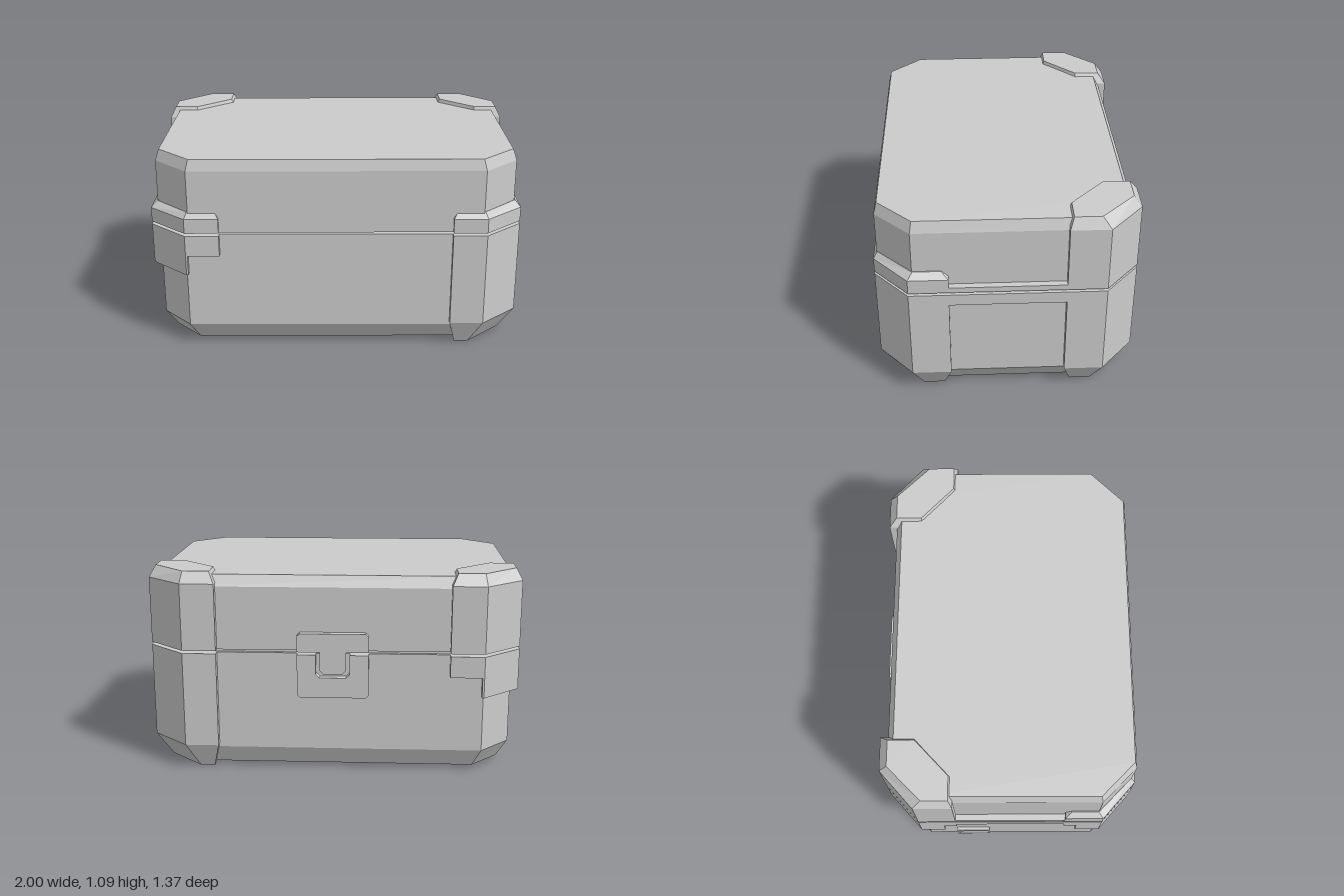
import * as THREE from 'three';

const grey = new THREE.MeshStandardMaterial({ color: 0xcccccc, flatShading: true });

// Closed solid through rings of [x, z] corners, each at its own height
function loft(name, levels) {
  const flip = THREE.ShapeUtils.area(levels[0].ring.map(p => new THREE.Vector2(...p))) < 0;
  const rings = levels.map(({ y, ring }) => {
    const pts = ring.map(([x, z]) => [x, y, z]);
    return flip ? pts.reverse() : pts;
  });
  const pos = [];
  const tri = (...v) => v.forEach(p => pos.push(...p));
  for (let k = 0; k < rings.length - 1; k++) {
    const lo = rings[k], hi = rings[k + 1];
    lo.forEach((p, i) => {
      const j = (i + 1) % lo.length;
      tri(p, hi[i], lo[j]);
      tri(hi[i], hi[j], lo[j]);
    });
  }
  const cap = (ring, up) => {
    const flat = ring.map(p => new THREE.Vector2(p[0], p[2]));
    for (const [a, b, c] of THREE.ShapeUtils.triangulateShape(flat, [])) {
      if (up) tri(ring[a], ring[c], ring[b]);
      else tri(ring[a], ring[b], ring[c]);
    }
  };
  cap(rings[0], false);
  cap(rings[rings.length - 1], true);
  const geo = new THREE.BufferGeometry();
  geo.setAttribute('position', new THREE.Float32BufferAttribute(pos, 3));
  geo.computeVertexNormals();
  const mesh = new THREE.Mesh(geo, grey);
  mesh.name = name;
  return mesh;
}

// Rectangle with cut corners: half width x, front and back z, cut sizes
function octagon(y, x, front, back, cutX, cutZ) {
  return { y, ring: [
    [x, front - cutZ], [x - cutX, front], [cutX - x, front], [-x, front - cutZ],
    [-x, back + cutZ], [cutX - x, back], [x - cutX, back], [x, back + cutZ],
  ] };
}

// Corner guard outlines: four outer corners, then two buried inside the body
const full = [[0.62, 0.685], [0.8, 0.685], [1, 0.505], [1, 0.3], [0.84, 0.3], [0.62, 0.5]];
const foot = [[0.655, 0.625], [0.73, 0.625], [0.92, 0.45], [0.92, 0.34], [0.78, 0.34], [0.655, 0.45]];
const crown = [[0.65, 0.64], [0.79, 0.64], [0.97, 0.46], [0.97, 0.32], [0.84, 0.32], [0.65, 0.5]];
const collar = [[0.64, 0.663], [0.785, 0.663], [0.97, 0.48], [0.97, 0.335], [0.84, 0.335], [0.64, 0.5]];
const drop = [[0.79, 0.685], [0.8, 0.685], [1, 0.505], [1, 0.37], [0.84, 0.37], [0.79, 0.5]];

function guard(name, sx, sz, levels) {
  return loft(name, levels.map(([y, ring]) => ({ y, ring: ring.map(([x, z]) => [sx * x, sz * z]) })));
}

function box(name, x0, x1, y0, y1, z0, z1) {
  const mesh = new THREE.Mesh(new THREE.BoxGeometry(x1 - x0, y1 - y0, z1 - z0), grey);
  mesh.position.set((x0 + x1) / 2, (y0 + y1) / 2, (z0 + z1) / 2);
  mesh.name = name;
  return mesh;
}

// Flat plate standing on the back wall
function backPlate(name, points) {
  const shape = new THREE.Shape(points.map(p => new THREE.Vector2(...p)));
  const geo = new THREE.ExtrudeGeometry(shape, { depth: 0.05, bevelEnabled: false });
  const mesh = new THREE.Mesh(geo, grey);
  mesh.position.z = -0.685;
  mesh.name = name;
  return mesh;
}

export function createModel() {
  const model = new THREE.Group();
  model.name = 'storageCrate';

  // Base, lid and the recessed core seen in the seam
  model.add(
    loft('base', [
      octagon(0.02, 0.9, 0.6, -0.6, 0.145, 0.15),
      octagon(0.12, 0.96, 0.655, -0.645, 0.16, 0.17),
      octagon(0.655, 0.96, 0.655, -0.645, 0.16, 0.17),
    ]),
    loft('seamCore', [
      octagon(0.6, 0.94, 0.63, -0.625, 0.17, 0.18),
      octagon(0.72, 0.94, 0.63, -0.625, 0.17, 0.18),
    ]),
    loft('lid', [
      octagon(0.67, 0.965, 0.667, -0.645, 0.185, 0.185),
      octagon(1.01, 0.965, 0.667, -0.645, 0.185, 0.185),
      octagon(1.07, 0.945, 0.652, -0.612, 0.18, 0.18),
    ]),
  );

  for (const sx of [-1, 1]) {
    const side = sx > 0 ? 'left' : 'right';
    // Lid guards: tall behind, low collars in front
    model.add(
      guard(side + 'BackLidGuard', sx, -1, [[0.67, full], [1.03, full], [1.09, crown]]),
      guard(side + 'FrontLidGuard', sx, 1, [[0.67, full], [0.75, full], [0.783, collar]]),
    );
    // Base guards: full feet on the left, short stepped brackets on the right
    for (const sz of [-1, 1]) {
      const name = side + (sz > 0 ? 'Front' : 'Back');
      if (sx > 0) {
        model.add(guard(name + 'FootGuard', sx, sz, [[0, foot], [0.14, full], [0.655, full]]));
      } else {
        model.add(
          guard(name + 'Bracket', sx, sz, [[0.54, full], [0.655, full]]),
          guard(name + 'BracketDrop', sx, sz, [[0.43, drop], [0.54, drop]]),
        );
      }
    }
    // Side rails joining the guards along the seam
    const [x0, x1] = sx > 0 ? [0.92, 1] : [-1, -0.92];
    model.add(
      box(side + 'LidRail', x0, x1, 0.67, 0.7, -0.31, 0.31),
      box(side + 'BaseRail', x0, x1, 0.59, 0.655, -0.31, 0.31),
    );
  }

  // Latch: hasp with a tongue, held by a slotted keeper
  model.add(
    backPlate('latchHasp', [
      [-0.19, 0.67], [-0.07, 0.67], [-0.07, 0.57], [-0.05, 0.55], [0.05, 0.55], [0.07, 0.57],
      [0.07, 0.67], [0.19, 0.67], [0.19, 0.755], [0.175, 0.77], [-0.175, 0.77], [-0.19, 0.755],
    ]),
    backPlate('latchKeeper', [
      [-0.175, 0.42], [0.175, 0.42], [0.19, 0.435], [0.19, 0.655], [0.09, 0.655], [0.09, 0.55],
      [0.07, 0.53], [-0.07, 0.53], [-0.09, 0.55], [-0.09, 0.655], [-0.19, 0.655], [-0.19, 0.435],
    ]),
  );

  // Small framed label plate on the right side
  const frame = new THREE.Group();
  frame.name = 'labelFrame';
  frame.add(
    box('frameTop', -0.978, -0.95, 0.268, 0.28, -0.31, -0.12),
    box('frameBottom', -0.978, -0.95, 0.17, 0.182, -0.31, -0.12),
    box('frameBack', -0.978, -0.95, 0.182, 0.268, -0.31, -0.298),
    box('frameFront', -0.978, -0.95, 0.182, 0.268, -0.132, -0.12),
    box('labelPanel', -0.968, -0.95, 0.182, 0.268, -0.298, -0.132),
  );
  model.add(frame);
  return model;
}
